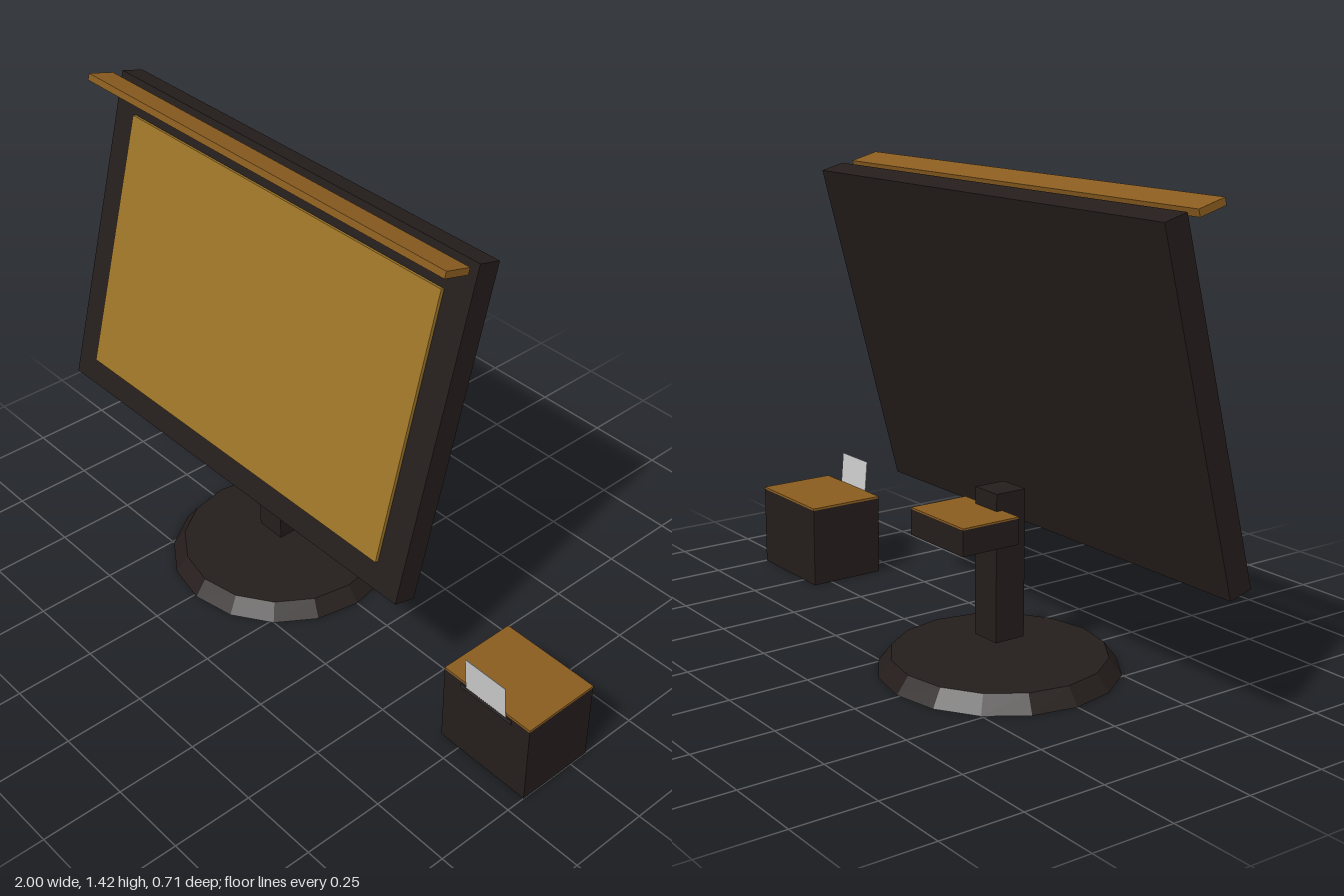
import * as THREE from 'three';

const mat = (color) => new THREE.MeshStandardMaterial({ color, flatShading: true });

export function createModel() {
  const model = new THREE.Group();
  const dark = mat(0x241d1b);
  const slotDark = mat(0x2e2928);
  const wood = mat(0x8a5c1f);
  const amber = mat(0x9c7428);
  const paperMat = mat(0xcccccc);
  paperMat.side = THREE.DoubleSide;

  const add = (parent, name, geometry, material, x, y, z) => {
    const mesh = new THREE.Mesh(geometry, material);
    mesh.name = name;
    mesh.position.set(x, y, z);
    parent.add(mesh);
    return mesh;
  };
  const box = (parent, name, material, [w, h, d], [x, y, z]) =>
    add(parent, name, new THREE.BoxGeometry(w, h, d), material, x, y, z);

  const tilt = -THREE.MathUtils.degToRad(15);

  // Stand: faceted foot, post and rear shelf with a wooden top
  const stand = new THREE.Group();
  stand.name = 'stand';
  stand.position.x = -0.24;
  add(stand, 'foot', new THREE.CylinderGeometry(0.317, 0.355, 0.05, 16), dark, 0, 0.025, 0);
  box(stand, 'post', dark, [0.1, 0.44, 0.1], [0, 0.32, 0]);
  box(stand, 'rearShelf', dark, [0.25, 0.075, 0.19], [0, 0.4475, -0.125]);
  box(stand, 'rearShelfTop', wood, [0.25, 0.005, 0.19], [0, 0.4875, -0.125]);

  // Display: housing and raised screen, leaning back
  const display = new THREE.Group();
  display.name = 'display';
  display.position.set(-0.24, 0.892, 0.063);
  display.rotation.x = tilt;
  box(display, 'housing', dark, [1.52, 1.02, 0.074], [0, 0, 0]);
  box(display, 'screen', amber, [1.33, 0.826, 0.02], [0, -0.012, 0.038]);

  // Floating visor bar above the display
  const visor = box(model, 'visor', wood, [1.52, 0.021, 0.088], [-0.24, 1.4, 0.048]);
  visor.rotation.x = tilt;

  // Ticket box: body, wooden lid, slot and protruding slip
  const ticketBox = new THREE.Group();
  ticketBox.name = 'ticketBox';
  ticketBox.position.set(0.84, 0, 0.063);
  box(ticketBox, 'body', dark, [0.32, 0.255, 0.252], [0, 0.1275, 0]);
  box(ticketBox, 'lid', wood, [0.32, 0.007, 0.252], [0, 0.2585, 0]);
  box(ticketBox, 'slot', slotDark, [0.19, 0.012, 0.008], [0, 0.243, 0.125]);
  const slip = box(ticketBox, 'paperSlip', paperMat, [0.15, 0.12, 0.002], [0, 0.3, 0.132]);
  slip.rotation.x = THREE.MathUtils.degToRad(5);

  model.add(stand, display, ticketBox);
  return model;
}
